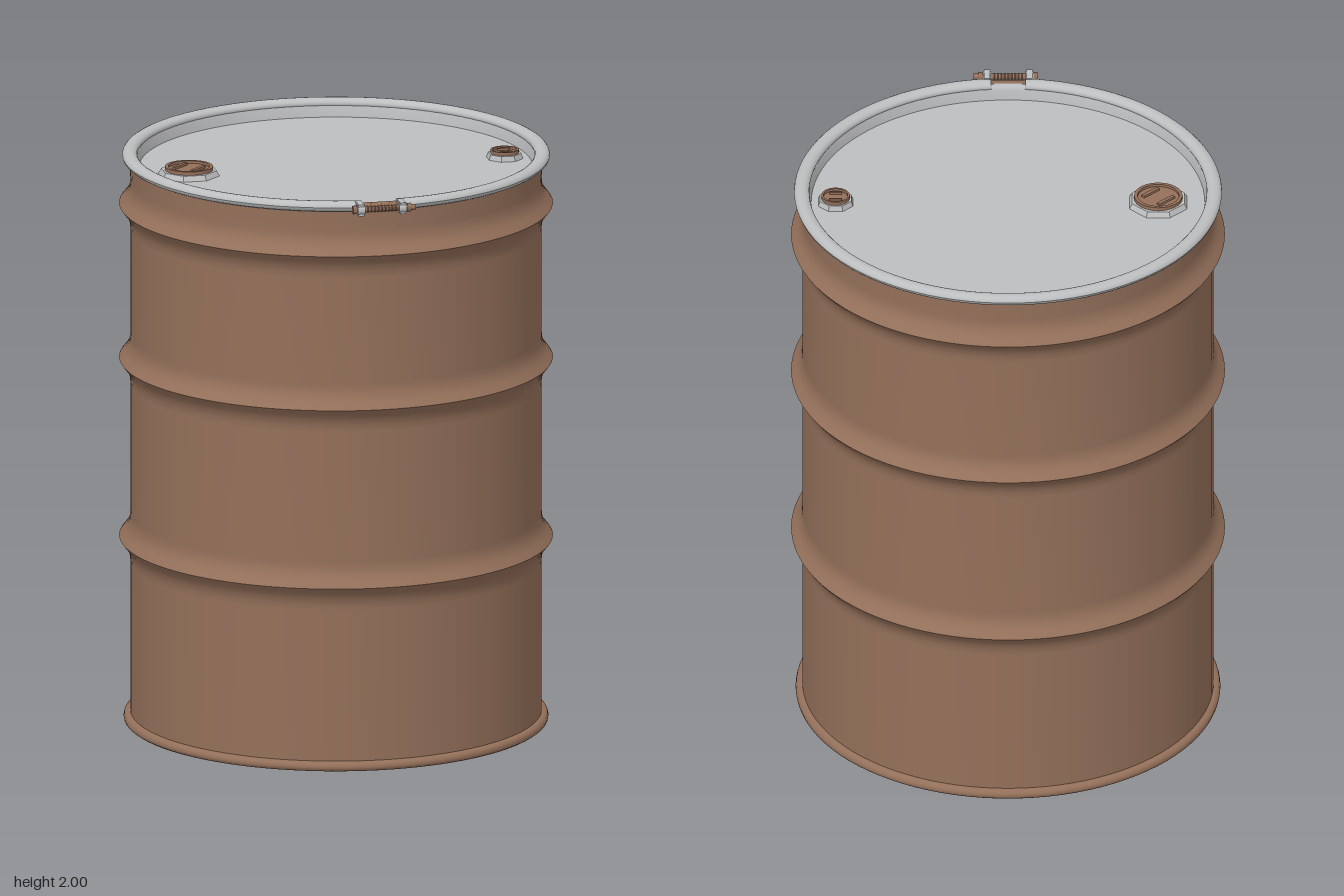
import * as THREE from 'three';

const brown = new THREE.MeshStandardMaterial({ name: 'brownPaint', color: 0x94705a });
const grey = new THREE.MeshStandardMaterial({ name: 'greySteel', color: 0xbdbebf });

const SEGMENTS = 96;
const BODY_R = 0.698, RIB_R = 0.736;

function add(parent, name, geometry, material, x = 0, y = 0, z = 0) {
  const mesh = new THREE.Mesh(geometry, material);
  mesh.name = name;
  mesh.position.set(x, y, z);
  parent.add(mesh);
  return mesh;
}

// Smooth surface of revolution; separate calls leave a crisp edge between them
function lathe(parent, name, points, material, segments = SEGMENTS) {
  const profile = points.map(([r, y]) => new THREE.Vector2(r, y));
  return add(parent, name, new THREE.LatheGeometry(profile, segments), material);
}

// Threaded plug in a raised octagonal flange
function bung(name, x, r, flangeR, barAngle) {
  const g = new THREE.Group();
  g.name = name;
  g.position.set(x, 1.935, 0);
  const flange = new THREE.CylinderGeometry(flangeR * 0.96, flangeR * 1.06, 0.018, 8).toNonIndexed();
  flange.rotateY(Math.PI / 8);
  flange.computeVertexNormals();
  add(g, 'bungFlange', flange, grey, 0, 0.009, 0);
  lathe(g, 'bungRim', [[r, 0.01], [r, 0.03]], brown, 32);
  lathe(g, 'bungRimTop', [[r, 0.03], [r * 0.86, 0.03]], brown, 32);
  lathe(g, 'bungRimInside', [[r * 0.86, 0.03], [r * 0.86, 0.021]], brown, 32);
  lathe(g, 'bungFloor', [[r * 0.86, 0.021], [0, 0.021]], brown, 32);
  // Wrench lugs inside the recess
  for (const s of [-1, 1]) {
    const bar = add(g, 'bungLug', new THREE.BoxGeometry(r * 0.9, 0.008, r * 0.16), brown,
      s * Math.sin(barAngle) * r * 0.45, 0.025, s * Math.cos(barAngle) * r * 0.45);
    bar.rotation.y = barAngle;
  }
  return g;
}

export function createModel() {
  const model = new THREE.Group();
  model.name = 'drum';
  const drum = new THREE.Group();
  drum.name = 'drumAssembly';
  drum.position.z = -0.02;
  model.add(drum);

  // Body wall: each span flares out to a sharp rib crest
  const flare = [[0, RIB_R], [0.012, 0.727], [0.025, 0.716], [0.042, 0.706], [0.062, 0.7], [0.085, BODY_R]];
  const ribs = [0.645, 1.27, 1.81];
  const levels = [0.03, ...ribs, 1.965];
  for (let i = 0; i < levels.length - 1; i++) {
    const low = levels[i], high = levels[i + 1];
    const points = i === 0 ? [[BODY_R, low]] : flare.map(([d, r]) => [r, low + d]);
    if (i === ribs.length) points.push([0.7, high]);
    else for (const [d, r] of [...flare].reverse()) points.push([r, high - d]);
    lathe(drum, 'bodyWall', points, brown);
  }

  // Bottom chime and slightly recessed base
  lathe(drum, 'bottomRim', [
    [0.68, 0.014], [0.684, 0.004], [0.694, 0], [0.712, 0], [0.719, 0.005],
    [0.721, 0.014], [0.718, 0.024], [0.71, 0.03], [BODY_R, 0.032],
  ], brown);
  lathe(drum, 'base', [[0, 0.014], [0.682, 0.014]], brown);

  // Recessed lid
  lathe(drum, 'lid', [[0.668, 1.935], [0, 1.935]], grey);
  lathe(drum, 'lidWall', [[0.7, 1.982], [0.69, 1.986], [0.68, 1.982], [0.674, 1.97], [0.668, 1.935]], grey);
  lathe(drum, 'topRim', [[0.7, 1.96], [0.714, 1.965], [0.718, 1.978], [0.712, 1.988], [0.69, 1.988]], brown);

  // Clamping ring, open at the front between the lugs
  const gap = 0.085;
  const section = [];
  for (let i = 0; i <= 16; i++) {
    const a = (i / 16) * Math.PI * 2;
    section.push(new THREE.Vector2(0.7 + Math.cos(a) * 0.026, 1.979 + Math.sin(a) * 0.018));
  }
  add(drum, 'clampRing', new THREE.LatheGeometry(section, SEGMENTS, gap, Math.PI * 2 - 2 * gap), grey);

  // Bolted clasp
  const clasp = new THREE.Group();
  clasp.name = 'clasp';
  clasp.position.set(0, 1.979, 0.745);
  drum.add(clasp);
  for (const s of [-1, 1]) {
    add(clasp, 'claspLug', new THREE.BoxGeometry(0.02, 0.04, 0.06), grey, s * 0.072, 0, -0.013);
    const boss = add(clasp, 'claspBoss', new THREE.CylinderGeometry(0.018, 0.018, 0.026, 16), grey, s * 0.072, 0, 0.004);
    boss.rotation.z = Math.PI / 2;
  }
  const shank = add(clasp, 'bolt', new THREE.CylinderGeometry(0.01, 0.01, 0.215, 16), brown, 0.01, 0, 0.003);
  shank.rotation.z = Math.PI / 2;
  for (const x of [-0.093, 0.095]) {
    const nut = add(clasp, 'boltNut', new THREE.CylinderGeometry(0.015, 0.015, 0.014, 6), brown, x, 0, 0.003);
    nut.rotation.z = Math.PI / 2;
  }
  for (let i = 0; i < 9; i++) {
    const thread = add(clasp, 'boltThread', new THREE.TorusGeometry(0.01, 0.003, 6, 16), brown, -0.048 + i * 0.012, 0, 0.003);
    thread.rotation.y = Math.PI / 2;
  }

  // Filler openings
  drum.add(bung('largeBung', -0.51, 0.082, 0.1, Math.PI / 4));
  drum.add(bung('smallBung', 0.585, 0.048, 0.06, 0));
  return model;
}
